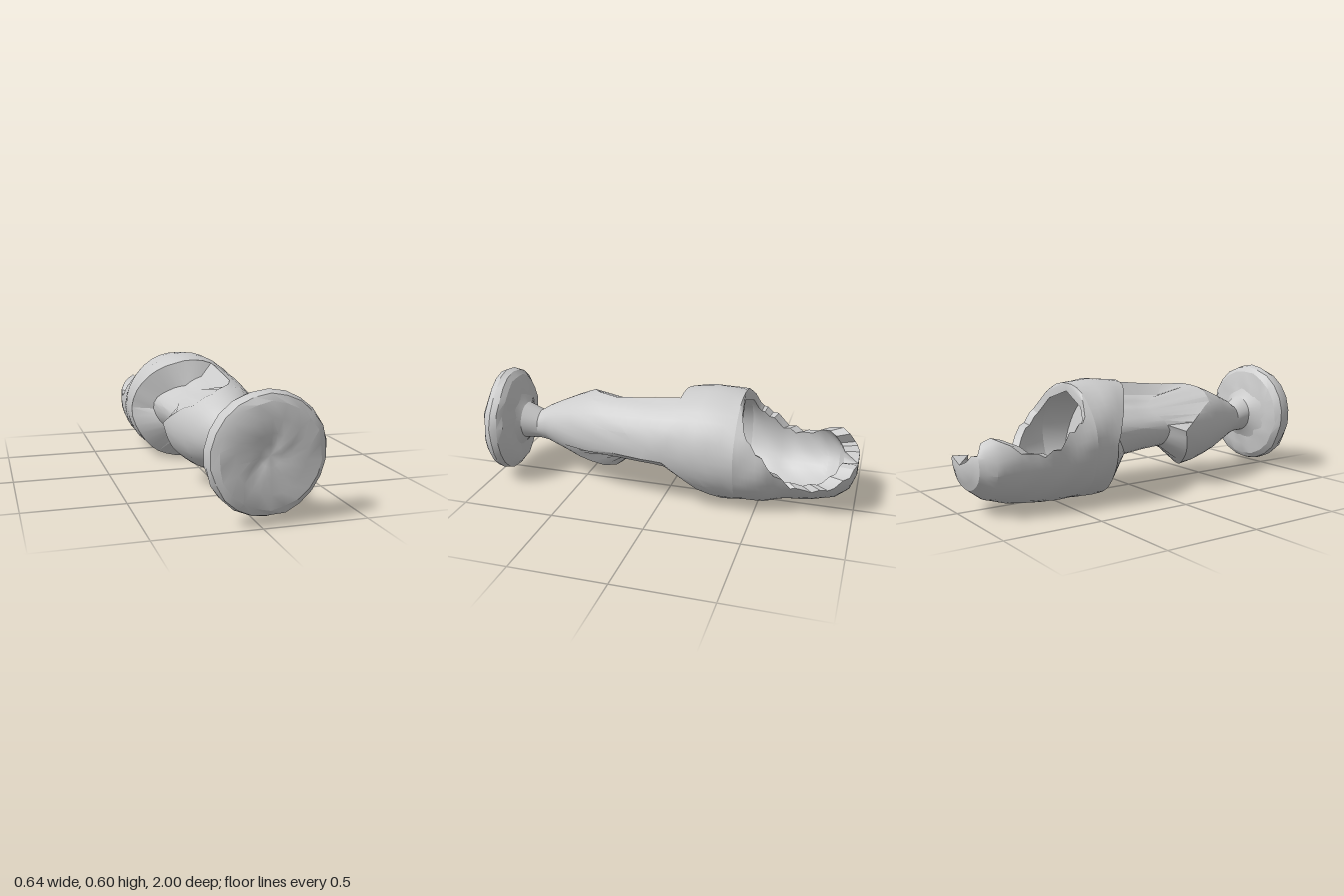
import * as THREE from 'three';
import { toCreasedNormals } from 'three/addons/utils/BufferGeometryUtils.js';

const N = 36; // points around the vessel
const rad = THREE.MathUtils.degToRad;

// Linear lookup in rows of [key, value, value...]
function lookup(table, key) {
  let i = 0;
  while (i < table.length - 2 && key > table[i + 1][0]) i++;
  const a = table[i], b = table[i + 1];
  const t = THREE.MathUtils.clamp((key - a[0]) / (b[0] - a[0]), 0, 1);
  return a.slice(1).map((v, k) => v + (b[k + 1] - v) * t);
}

// Vessel sections along z: z, centre x, centre y, radius x, radius y
const sections = [
  [-1, -0.05, 0.26, 0.09, 0.06], [-0.97, -0.05, 0.25, 0.16, 0.125], [-0.9, -0.05, 0.25, 0.205, 0.18],
  [-0.8, -0.05, 0.27, 0.23, 0.23], [-0.65, -0.06, 0.28, 0.245, 0.26], [-0.55, -0.03, 0.28, 0.275, 0.27],
  [-0.4, -0.02, 0.3, 0.3, 0.295], [-0.25, -0.015, 0.305, 0.298, 0.303], [0, 0, 0.315, 0.272, 0.26],
  [0.2, 0, 0.315, 0.25, 0.24], [0.4, 0, 0.315, 0.21, 0.22], [0.55, 0, 0.315, 0.16, 0.165],
  [0.7, 0.01, 0.31, 0.095, 0.1], [0.75, 0.02, 0.3, 0.078, 0.08],
  [0.83, 0.035, 0.32, 0.098, 0.1], [0.86, 0.035, 0.32, 0.145, 0.145], [0.88, 0.035, 0.32, 0.2, 0.2],
];

// Point on the slightly uneven vessel wall
function skin(angle, z, k = 1, zOut = z) {
  const [cx, cy, rx, ry] = lookup(sections, z);
  const a = rad(angle), r = k * (1 + 0.008 * Math.sin(7 * a + 31 * z));
  return new THREE.Vector3(cx + Math.cos(a) * rx * r, cy + Math.sin(a) * ry * r, zOut);
}

// Closed rings of points joined into one surface
function loft(rows) {
  const n = rows[0].length, index = [];
  for (let i = 0; i < rows.length - 1; i++) {
    for (let j = 0; j < n; j++) {
      const a = i * n + j, b = i * n + (j + 1) % n;
      index.push(a, b, b + n, a, b + n, a + n);
    }
  }
  const geo = new THREE.BufferGeometry().setFromPoints(rows.flat());
  geo.setIndex(index);
  return toCreasedNormals(geo, 0.45);
}

// Break in the side, by angle: angle, rear edge z, front edge z, rear slope, front slope
const breakEdges = [
  [0, -0.05, 0.1, 0.03, 0.03], [70, -0.08, 0.36, 0.02, 0.08], [90, -0.09, 0.42, 0.03, 0.26],
  [110, -0.11, 0.46, 0.04, 0.38], [140, -0.19, 0.44, 0.05, 0.36], [160, -0.24, 0.32, 0.06, 0.2],
  [180, -0.28, 0.2, 0.08, 0.05], [225, -0.27, 0.25, 0.16, 0.12], [270, -0.27, 0.32, 0.27, 0.16],
  [300, -0.32, 0.5, 0.32, 0.38], [330, -0.14, 0.58, 0.11, 0.5], [345, -0.07, 0.35, 0.04, 0.25],
  [360, -0.05, 0.1, 0.03, 0.03],
];
// Remaining radius inside the break, as a share of the full one
const breakDepth = [
  [0, 1], [70, 1], [80, 0.7], [110, 0.55], [140, 0.58], [167, 0.68], [190, 0.66], [215, 0.6],
  [240, 0.42], [270, 0.36], [300, 0.42], [325, 0.7], [340, 0.9], [350, 1], [360, 1],
];

function bodyColumn(angle) {
  const [z0, z1, t0, t1] = lookup(breakEdges, angle);
  const [depth] = lookup(breakDepth, angle);
  const column = [];
  for (let i = 0; i <= 5; i++) column.push(skin(angle, -0.4 + (z0 + 0.4) * i / 5));
  for (let i = 0; i <= 2; i++) column.push(skin(angle, z0 + t0 + (z1 - t1 - z0 - t0) * i / 2, depth));
  for (let i = 0; i <= 4; i++) column.push(skin(angle, z1 + (0.62 - z1) * i / 4));
  for (const z of [0.66, 0.7, 0.75, 0.79, 0.83, 0.86, 0.88]) column.push(skin(angle, z));
  return column;
}

// Height of the broken rim on each side: z, right (+x), left (-x)
const rim = [
  [-1, 0.28, 0.28], [-0.95, 0.23, 0.35], [-0.9, 0.19, 0.39], [-0.86, 0.17, 0.375], [-0.82, 0.16, 0.335],
  [-0.75, 0.155, 0.31], [-0.68, 0.17, 0.3], [-0.6, 0.25, 0.32], [-0.55, 0.33, 0.375], [-0.5, 0.385, 0.41],
  [-0.46, 0.43, 0.43], [-0.43, 0.5, 0.48], [-0.4, 0.6, 0.6],
];

// Outer arc under the opening, then back along the inside of the thick wall
function mouthRow(z, i) {
  const [, cy, , ry] = lookup(sections, z);
  const [hr, hl] = lookup(rim, z);
  const chip = z < -0.42 ? 0.01 * Math.sin(i * 2.4) : 0;
  const lift = (h) => THREE.MathUtils.radToDeg(Math.asin(THREE.MathUtils.clamp((h + chip - cy) / ry, -1, 1)));
  const start = 180 - lift(hl), end = 360 + lift(hr);
  const angles = Array.from({ length: N + 1 }, (_, j) => THREE.MathUtils.clamp(90 + j * 360 / N, start, end));
  const outer = angles.map((a) => skin(a, z));
  const inner = angles.map((a) => skin(a, z, 0.86, -0.4 + (z + 0.4) * 0.87)).reverse();
  return [...outer, ...inner];
}

export function createModel() {
  const group = new THREE.Group();
  const material = new THREE.MeshStandardMaterial({ color: 0xcccccc });
  const add = (name, geometry) => {
    const mesh = new THREE.Mesh(geometry, material);
    mesh.name = name;
    group.add(mesh);
    return mesh;
  };
  const angles = Array.from({ length: N }, (_, j) => j * 360 / N);

  // Body with its broken side, running into the stem
  const columns = angles.map(bodyColumn);
  add('bodyAndStem', loft(columns[0].map((_, i) => columns.map((c) => c[i]))));

  // Broken open mouth
  const zs = [-1, -0.985, -0.97, -0.94, -0.9, -0.87, -0.83, -0.79, -0.75, -0.71, -0.68, -0.64, -0.6,
    -0.57, -0.54, -0.51, -0.48, -0.46, -0.44, -0.42, -0.4];
  const rows = zs.map(mouthRow);
  rows.unshift(rows[0].map(() => new THREE.Vector3(-0.05, 0.25, -1)));
  add('brokenMouth', loft(rows));

  // Hollow behind the mouth, ending in a slanted flat wall: z, share of radius, slant
  const hollow = [[-0.25, 0.001, 0], [-0.25, 0.8, 0.08], [-0.4, 0.86, 0]];
  add('hollow', loft(hollow.map(([z, k, slant]) => angles.map((a) => skin(a, z, k, z + slant * Math.sin(rad(a)))))));

  // Round foot, slightly tilted and uneven
  const profile = [[0.1, -0.08], [0.14, -0.073], [0.19, -0.066], [0.25, -0.053], [0.278, -0.03],
    [0.285, 0.005], [0.272, 0.038], [0.24, 0.056], [0.17, 0.06], [0.1, 0.056], [0.05, 0.048], [0, 0.04]];
  const footGeo = new THREE.LatheGeometry(profile.map(([r, y]) => new THREE.Vector2(r, y)), 22);
  footGeo.rotateX(Math.PI / 2);
  const p = footGeo.attributes.position;
  for (let i = 0; i < p.count; i++) {
    const x = p.getX(i), y = p.getY(i), z = p.getZ(i);
    const s = 1 + 0.012 * Math.sin(41 * x + 67 * y + 90 * z);
    p.setXYZ(i, x * s, y * s, z + 0.004 * Math.sin(53 * x - 37 * y));
  }
  const foot = add('foot', toCreasedNormals(footGeo, 0.45));
  foot.position.set(0.035, 0.32, 0.93);
  foot.rotation.y = 0.05;

  return group;
}
